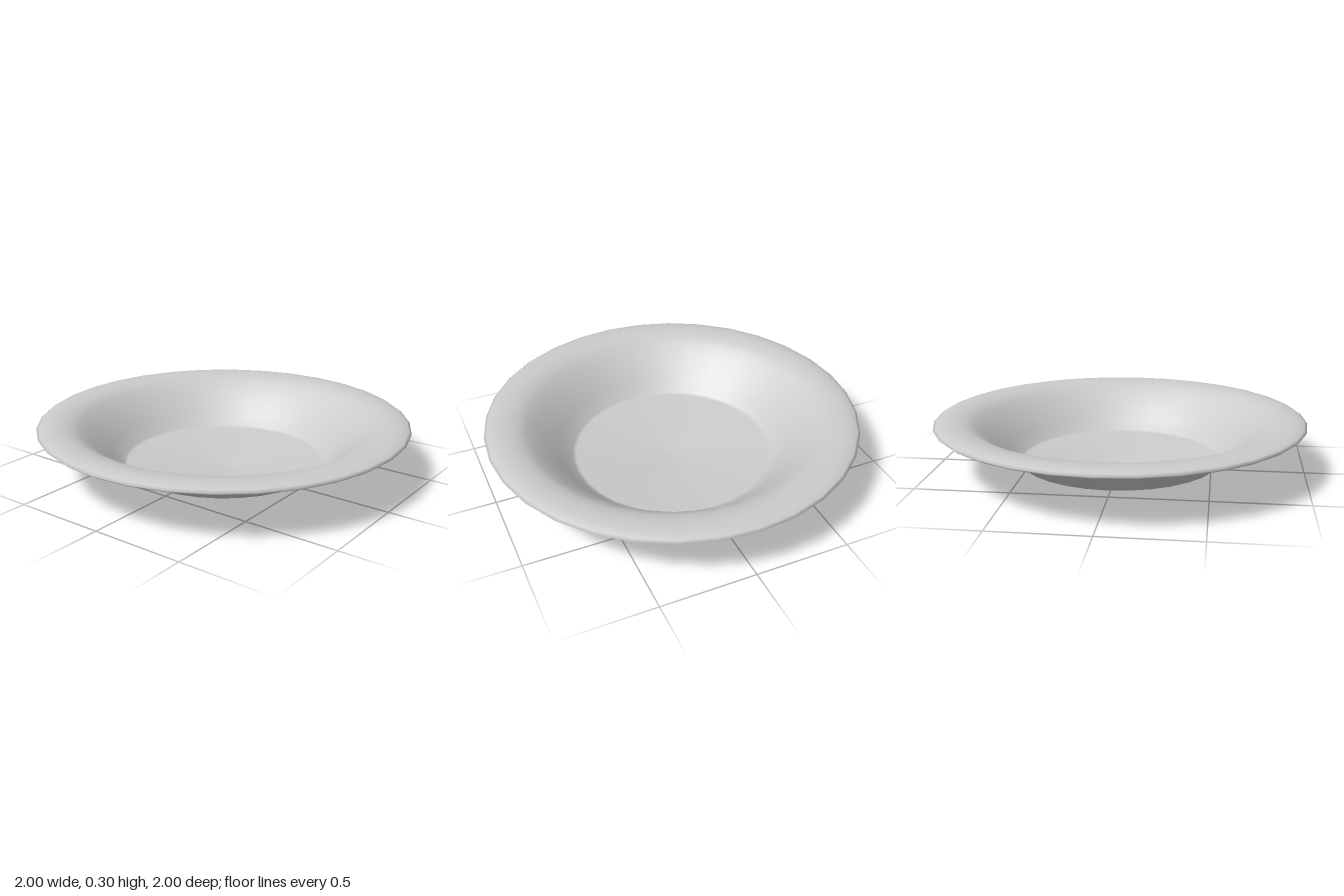
import * as THREE from 'three';

const SIDES = 32;

// Turns a list of [radius, height] pairs around the vertical axis.
function turned(name, profile, material) {
  const points = profile.map(([r, y]) => new THREE.Vector2(r, y));
  const mesh = new THREE.Mesh(new THREE.LatheGeometry(points, SIDES), material);
  mesh.name = name;
  return mesh;
}

export function createModel() {
  const group = new THREE.Group();
  group.name = 'dish';
  const material = new THREE.MeshStandardMaterial({ color: 0xcccccc, side: THREE.DoubleSide });

  // One thin shell: shallow floor, flared wall, broad rim and a lip rolled under
  group.add(turned('dishShell', [
    // floor, sagging slightly towards the centre
    [0, 0], [0.13, 0.008], [0.34, 0.03], [0.53, 0.048],
    // flared wall
    [0.55, 0.053], [0.61, 0.114], [0.67, 0.174], [0.73, 0.226], [0.78, 0.264],
    // rim
    [0.82, 0.284], [0.865, 0.293], [0.91, 0.297], [0.95, 0.294],
    // rolled lip with an open inner edge
    [0.985, 0.286], [1, 0.275], [0.987, 0.264], [0.95, 0.26], [0.89, 0.26],
  ], material));

  return group;
}
